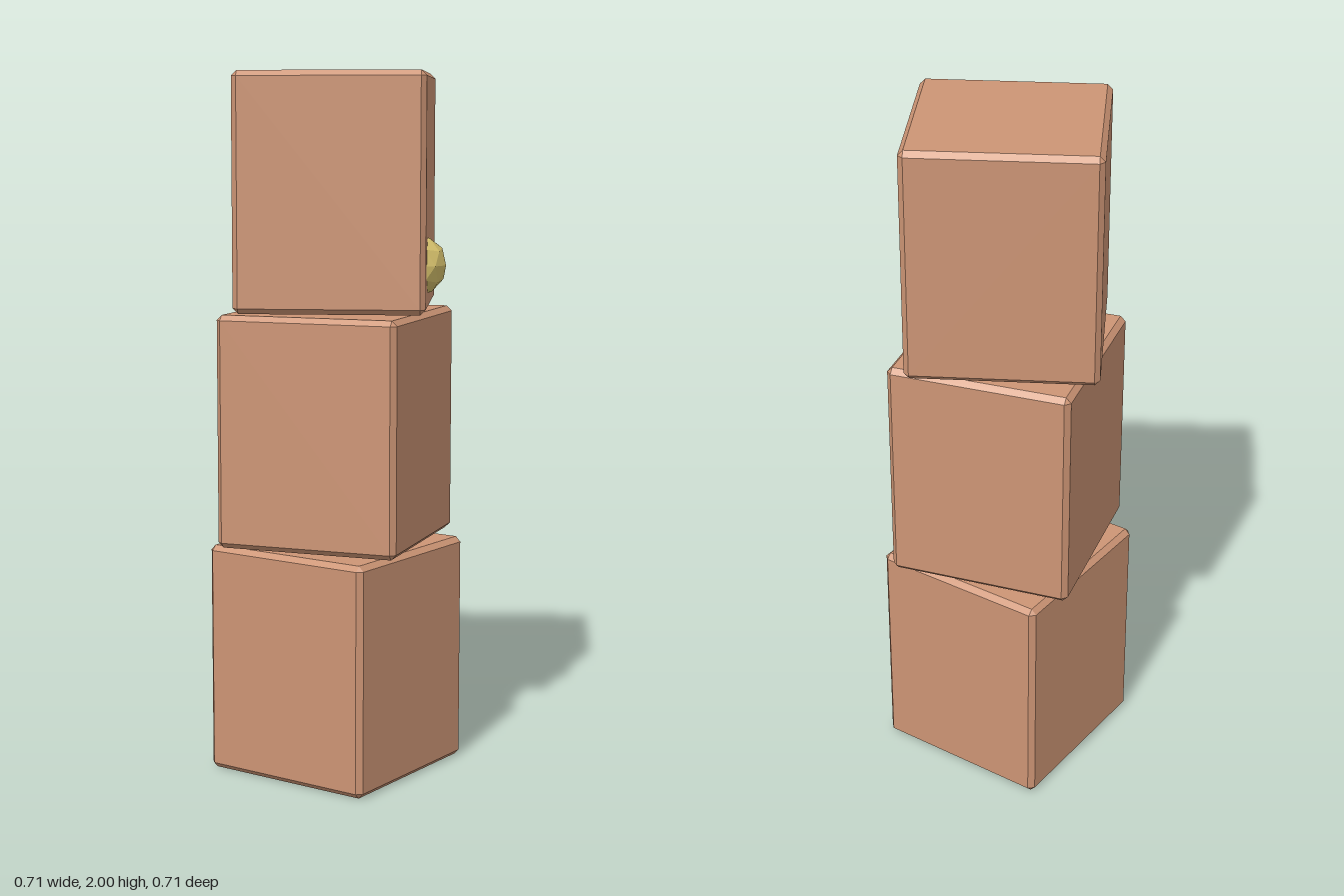
import * as THREE from 'three';
import { ConvexGeometry } from 'three/addons/geometries/ConvexGeometry.js';

const WIDTH = 0.53, HEIGHT = 0.66, GAP = 0.01, BEVEL = 0.015;

// Box with flat chamfers on every edge and corner
function chamferBox(w, h, d, b) {
  const points = [];
  for (const x of [-1, 1]) for (const y of [-1, 1]) for (const z of [-1, 1]) {
    for (let axis = 0; axis < 3; axis++) {
      points.push(new THREE.Vector3(
        x * (w / 2 - (axis === 0 ? 0 : b)),
        y * (h / 2 - (axis === 1 ? 0 : b)),
        z * (d / 2 - (axis === 2 ? 0 : b))));
    }
  }
  return new ConvexGeometry(points);
}

export function createModel() {
  const model = new THREE.Group();
  model.name = 'blockTower';

  const wood = new THREE.MeshStandardMaterial({ color: 0xcd9575, flatShading: true });
  wood.name = 'brown wood';
  const brass = new THREE.MeshStandardMaterial({ color: 0xd6c16c, flatShading: true });
  brass.name = 'yellow brass';

  // Three stacked blocks, each twisted 15 degrees further
  const blockGeometry = chamferBox(WIDTH, HEIGHT, WIDTH, BEVEL);
  ['bottomBlock', 'middleBlock', 'topBlock'].forEach((name, i) => {
    const block = new THREE.Mesh(blockGeometry, wood);
    block.name = name;
    block.position.y = HEIGHT / 2 + i * (HEIGHT + GAP);
    block.rotation.y = THREE.MathUtils.degToRad(15 * i);
    model.add(block);
  });

  // Faceted knob sunk into the front of the top block, one vertex pointing up
  const knobGeometry = new THREE.IcosahedronGeometry(0.088, 1);
  knobGeometry.rotateX(-Math.atan((1 + Math.sqrt(5)) / 2));
  const knob = new THREE.Mesh(knobGeometry, brass);
  knob.name = 'knob';
  knob.position.set(0, 1.47, WIDTH / 2);
  model.add(knob);

  return model;
}
